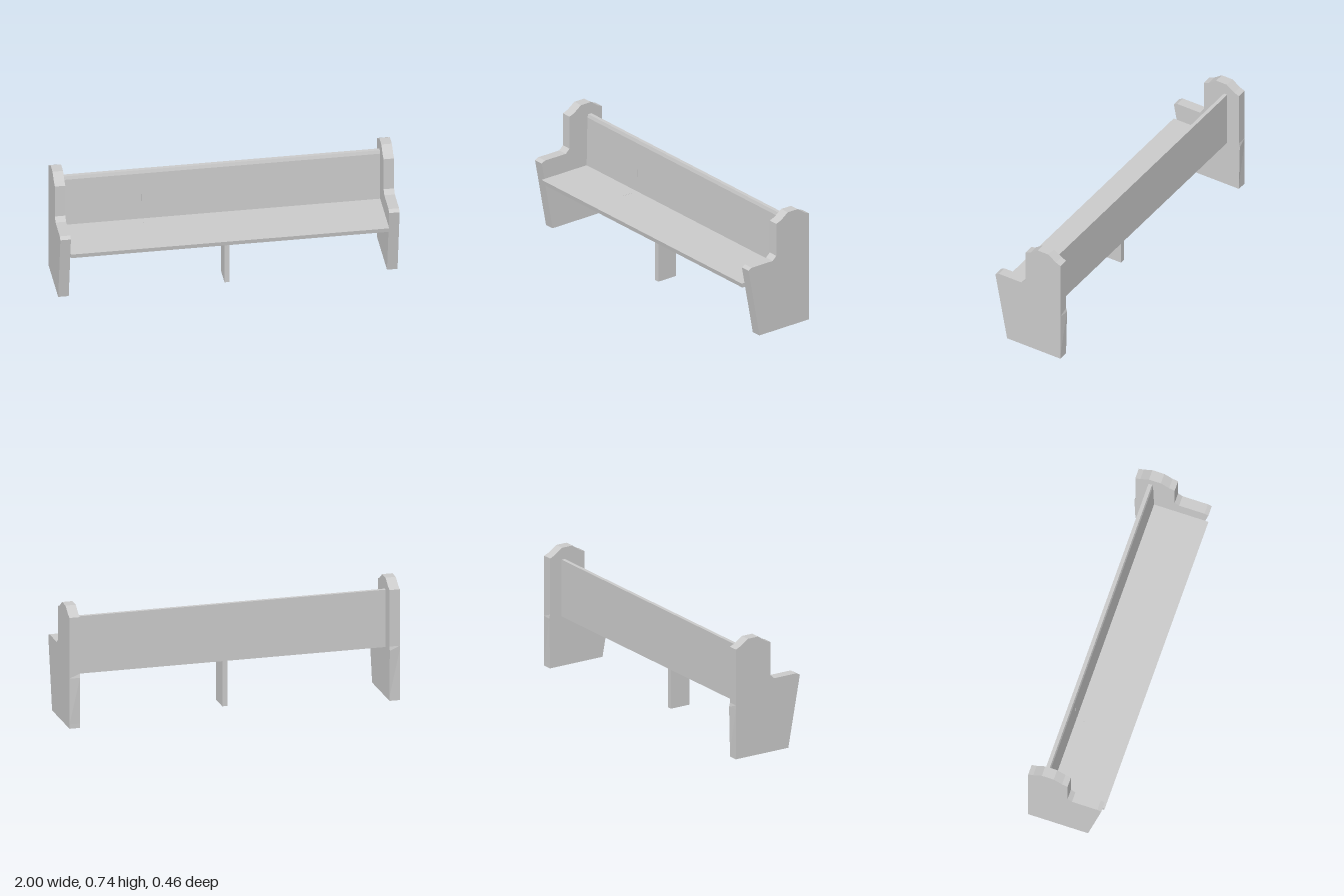
import * as THREE from 'three';

const mat = new THREE.MeshStandardMaterial({ color: 0xcccccc, flatShading: true });

function add(group, name, geometry) {
  const mesh = new THREE.Mesh(geometry, mat);
  mesh.name = name;
  group.add(mesh);
  return mesh;
}

// Extrudes a (z, y) profile along x, from x0 to x1
function alongX(points, x0, x1) {
  const shape = new THREE.Shape(points.map(([z, y]) => new THREE.Vector2(z, y)));
  return new THREE.ExtrudeGeometry(shape, { depth: x1 - x0, bevelEnabled: false })
    .rotateY(-Math.PI / 2).translate(x1, 0, 0);
}

// End panel, with the inner rear edge slightly swollen below seat height
function endPanel(side) {
  const profile = [
    [0.147, 0.013], [0.228, 0.448], [0.204, 0.461], [0.048, 0.461], [0.021, 0.486],
    [0.021, 0.69], [-0.013, 0.703], [-0.064, 0.74], [-0.137, 0.74], [-0.19, 0.703],
    [-0.221, 0.69], [-0.221, 0.345], [-0.221, 0.32], [-0.221, 0.04], [-0.221, 0.013],
  ];
  const geo = side > 0 ? alongX(profile, 0.938, 1) : alongX(profile, -1, -0.938);
  const p = geo.attributes.position;
  for (let i = 0; i < p.count; i++) {
    const inner = Math.abs(p.getX(i)) < 0.97;
    if (inner && p.getZ(i) < -0.22 && Math.abs(p.getY(i) - 0.32) < 0.005) p.setZ(i, -0.227);
  }
  geo.computeVertexNormals();
  return geo;
}

export function createModel() {
  const bench = new THREE.Group();
  bench.name = 'bench';

  // End panels
  add(bench, 'leftEnd', endPanel(1));
  add(bench, 'rightEnd', endPanel(-1));

  // Seat board with a slightly raked front edge
  add(bench, 'seat', alongX(
    [[0.224, 0.318], [0.229, 0.345], [-0.106, 0.345], [-0.138, 0.318]], -0.938, 0.938));

  // Backrest with a chamfered front top edge
  add(bench, 'backrest', alongX(
    [[-0.106, 0.318], [-0.106, 0.345], [-0.112, 0.648], [-0.118, 0.668], [-0.14, 0.668], [-0.14, 0.318]],
    -0.938, 0.938));

  // Centre leg
  add(bench, 'centreLeg', new THREE.BoxGeometry(0.03, 0.296, 0.13).translate(0, 0.148, 0.052));

  // Tapered block between leg and seat
  const block = new THREE.Shape([[-0.08, 0.294], [0.08, 0.294], [0.12, 0.319], [-0.12, 0.319]]
    .map(([x, y]) => new THREE.Vector2(x, y)));
  add(bench, 'legBlock', new THREE.ExtrudeGeometry(block, { depth: 0.2, bevelEnabled: false })
    .translate(0, 0, -0.048));

  // Thin splits in the backrest and seat
  const backSplit = add(bench, 'backrestSplit', new THREE.BoxGeometry(0.004, 0.23, 0.002));
  backSplit.position.set(-0.468, 0.485, -0.1088);
  backSplit.rotation.x = -0.02;
  add(bench, 'seatSplit', new THREE.BoxGeometry(0.003, 0.002, 0.07).translate(-0.465, 0.345, -0.035));

  return bench;
}
